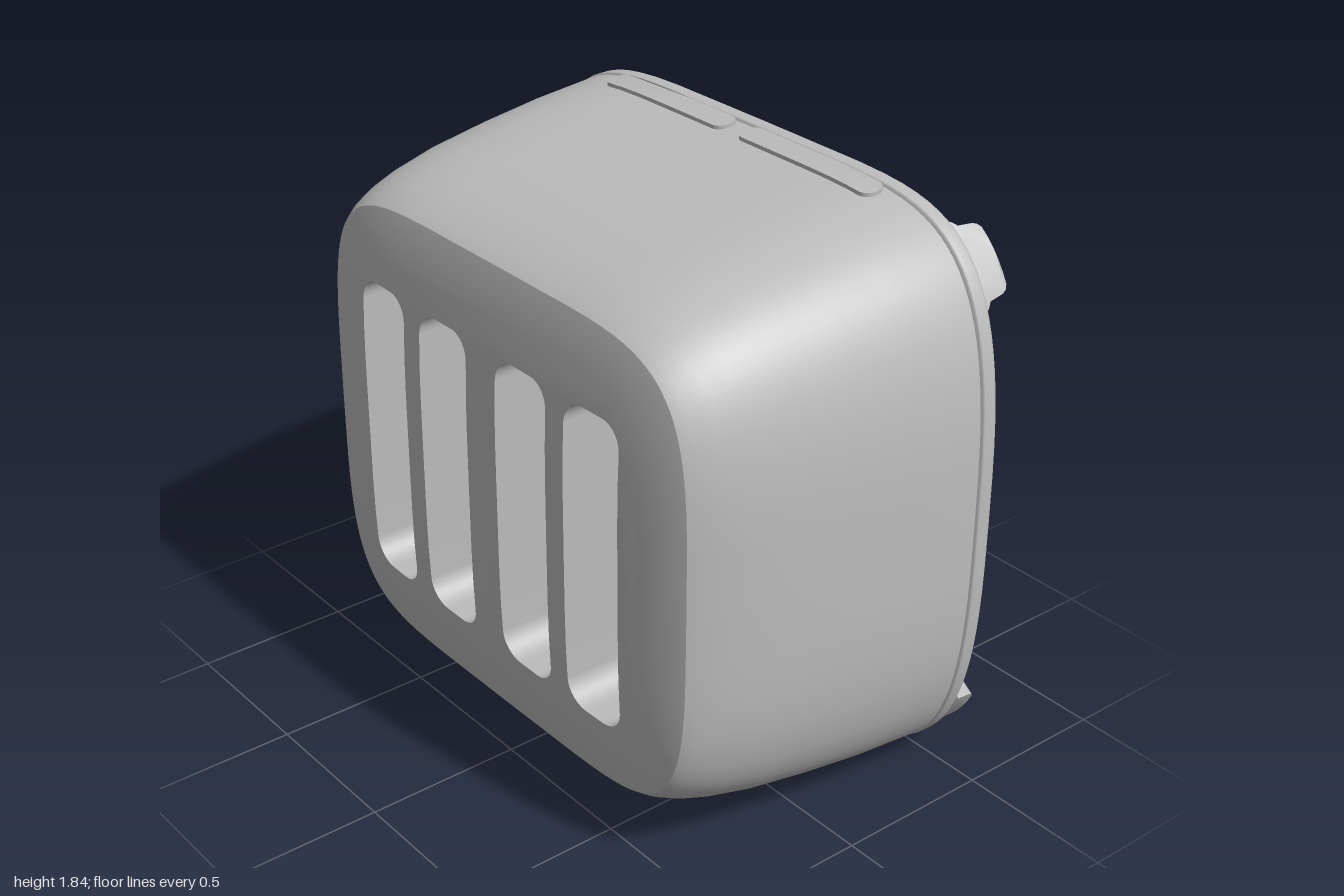
import * as THREE from 'three';
import { toCreasedNormals } from 'three/addons/utils/BufferGeometryUtils.js';

const CY = 0.915; // height of the body's centre
const N = 96;

// Body cross-sections: z, half width, half height, roundness of the sides
const SECTIONS = [
  [-0.42, 1.0, 0.912, 3], [-0.2, 0.985, 0.89, 3.1], [0, 0.965, 0.866, 3.2],
  [0.2, 0.938, 0.835, 3.4], [0.34, 0.91, 0.803, 3.6], [0.42, 0.887, 0.777, 3.8],
  [0.48, 0.862, 0.75, 4], [0.51, 0.845, 0.73, 4],
];
const FRONT = SECTIONS[SECTIONS.length - 1];

function outline(t, a, b, q) {
  const c = Math.cos(t), s = Math.sin(t);
  return [a * Math.sign(c) * Math.abs(c) ** (1 / 3), b * Math.sign(s) * Math.abs(s) ** (2 / q)];
}

function ring(z, a, b, q) {
  return Array.from({ length: N }, (_, i) => {
    const [x, y] = outline((i / N) * Math.PI * 2, a, b, q);
    return new THREE.Vector3(x, y + CY, z);
  });
}

// Closed rings joined into a skin
function loft(rings) {
  const n = rings[0].length, index = [];
  for (let i = 0; i < rings.length - 1; i++) {
    for (let j = 0; j < n; j++) {
      const k = (j + 1) % n;
      const a = i * n + j, b = i * n + k, c = (i + 1) * n + k, d = (i + 1) * n + j;
      index.push(a, b, c, a, c, d);
    }
  }
  const g = new THREE.BufferGeometry().setFromPoints(rings.flat());
  g.setIndex(index);
  g.computeVertexNormals();
  return g;
}

// Rounded rectangle as points, with divided straight edges
function roundedRect(x0, x1, y0, y1, r, div = 8) {
  const corners = [[x1 - r, y0 + r, -1], [x1 - r, y1 - r, 0], [x0 + r, y1 - r, 1], [x0 + r, y0 + r, 2]];
  const arcs = corners.map(([cx, cy, k]) => Array.from({ length: 9 }, (_, i) => {
    const t = (k + i / 8) * Math.PI / 2;
    return new THREE.Vector2(cx + r * Math.cos(t), cy + r * Math.sin(t));
  }));
  const pts = [];
  arcs.forEach((arc, i) => {
    pts.push(...arc);
    const end = arc[8], next = arcs[(i + 1) % 4][0];
    for (let k = 1; k < div; k++) pts.push(end.clone().lerp(next, k / div));
  });
  return pts;
}

// Gentle dome of the front panel, and its slope
function domeZ(x, y) {
  return 0.51 + 0.06 * (1 - Math.abs(x / FRONT[1]) ** 6 - Math.abs((y - CY) / FRONT[2]) ** 4);
}
function domeGeometry(g) {
  const p = g.attributes.position, v = new THREE.Vector3();
  for (let i = 0; i < p.count; i++) {
    const x = p.getX(i), y = p.getY(i);
    p.setZ(i, domeZ(x, y));
    v.set(0.36 * (x / FRONT[1]) ** 5 / FRONT[1], 0.24 * ((y - CY) / FRONT[2]) ** 3 / FRONT[2], 1).normalize();
    g.attributes.normal.setXYZ(i, v.x, v.y, v.z);
  }
  return g;
}

// Height of the body's skin above its centre
function skin(x, z) {
  let i = 0;
  while (i < SECTIONS.length - 2 && z > SECTIONS[i + 1][0]) i++;
  const A = SECTIONS[i], B = SECTIONS[i + 1], f = (z - A[0]) / (B[0] - A[0]);
  const [a, b, q] = [1, 2, 3].map(k => A[k] + (B[k] - A[k]) * f);
  return b * (1 - Math.abs(x / a) ** 6) ** (1 / q);
}

// Plate that follows the top (side 1) or the underside (side -1)
function skinPlate(x0, x1, z0, z1, r, side, raise) {
  const pts = side > 0 ? roundedRect(x0, x1, -z1, -z0, r) : roundedRect(x0, x1, z0, z1, r);
  const g = new THREE.ExtrudeGeometry(new THREE.Shape(pts), { depth: 0.02, bevelEnabled: false });
  const p = g.attributes.position;
  for (let i = 0; i < p.count; i++) {
    const x = p.getX(i), z = -side * p.getY(i);
    p.setXYZ(i, x, CY + side * (skin(x, z) + p.getZ(i) - 0.02 + raise), z);
  }
  return toCreasedNormals(g, 0.6);
}

// Foot: a profile bent along the corner of the rim
function footGeometry(tc) {
  const half = [[0.25, -0.01], [0.235, 0.006], [0.205, 0.018], [0.192, 0.07], [0.178, 0.083], [0.155, 0.09], [0.1, 0.09], [0.05, 0.09]];
  const pts = [...half, [0, 0.09], ...half.map(([t, h]) => [-t, h]).reverse(), [-0.1, -0.01], [0, -0.01], [0.1, -0.01]];
  const shape = new THREE.Shape(pts.map(([t, h]) => new THREE.Vector2(t, h)));
  const g = new THREE.ExtrudeGeometry(shape, { depth: 0.05, bevelEnabled: false });
  const p = g.attributes.position;
  for (let i = 0; i < p.count; i++) {
    const s = 0.995 - p.getZ(i);
    const [x, y] = outline(tc + p.getX(i), s, s * 0.915, 3);
    p.setXYZ(i, x, y + CY, -0.48 - p.getY(i));
  }
  return toCreasedNormals(g, 0.6);
}

export function createModel() {
  const model = new THREE.Group();
  model.name = 'toaster';
  const grey = new THREE.MeshStandardMaterial({ color: 0xbcbcbc });
  grey.name = 'grey';
  const add = (name, geometry) => {
    const m = new THREE.Mesh(geometry, grey);
    m.name = name;
    model.add(m);
    return m;
  };

  // Outer shell, tucked in at the seam with the base
  add('shell', loft([ring(-0.425, 0.985, 0.9, 3), ring(-0.42, 0.997, 0.91, 3), ...SECTIONS.map(s => ring(...s)).slice(1)]));

  // Base rim and flat base
  add('baseRim', loft([
    ring(-0.484, 0.985, 0.9, 3), ring(-0.48, 0.996, 0.911, 3), ring(-0.47, 1, 0.915, 3),
    ring(-0.435, 1, 0.915, 3), ring(-0.43, 0.996, 0.911, 3), ring(-0.425, 0.984, 0.899, 3),
  ]));
  const base = new THREE.ShapeGeometry(new THREE.Shape(ring(0, 0.985, 0.9, 3).map(v => new THREE.Vector2(-v.x, v.y))));
  base.rotateY(Math.PI).translate(0, 0, -0.484);
  add('base', base);

  // Domed front: an edge band and a centre pierced by four slots
  const [, fa, fb, fq] = FRONT;
  const bandScales = [1, 0.97, 0.94, 0.9, 0.86, 0.82];
  add('frontEdge', domeGeometry(loft(bandScales.map(s => ring(0.51, fa * s, fb * s, fq)))));
  const panel = new THREE.Shape(ring(0, fa * 0.82, fb * 0.82, fq).map(v => new THREE.Vector2(v.x, v.y)));
  const slots = [[-0.615, -0.385], [-0.305, -0.07], [0.07, 0.305], [0.385, 0.615]]
    .map(([x0, x1]) => roundedRect(x0, x1, 0.425, 1.405, 0.075));
  slots.forEach(pts => panel.holes.push(new THREE.Path(pts)));
  add('frontPanel', domeGeometry(new THREE.ShapeGeometry(panel)));
  slots.forEach(pts => {
    const deep = -0.32;
    add('slotWall', loft([
      pts.map(p => new THREE.Vector3(p.x, p.y, domeZ(p.x, p.y))),
      pts.map(p => new THREE.Vector3(p.x, p.y, deep)),
    ]));
    add('slotFloor', new THREE.ShapeGeometry(new THREE.Shape(pts)).translate(0, 0, deep));
  });

  // Two long plates on the top, by the seam
  add('topPlate', skinPlate(-0.59, -0.035, -0.415, -0.335, 0.035, 1, 0.01));
  add('topPlate', skinPlate(0.03, 0.585, -0.415, -0.335, 0.035, 1, 0.01));

  // Lever tracks and round knobs on the underside
  for (const x of [-0.33, 0.33]) {
    add('leverTrack', skinPlate(x - 0.02, x + 0.02, 0.06, 0.46, 0.018, -1, 0.004));
    const knob = add('leverKnob', new THREE.CylinderGeometry(0.1, 0.1, 0.06, 40));
    knob.position.set(x, 0.065, 0);
  }

  // Four corner feet
  for (const t of [0.866, Math.PI - 0.866, Math.PI + 0.866, -0.866]) add('foot', footGeometry(t));

  return model;
}
